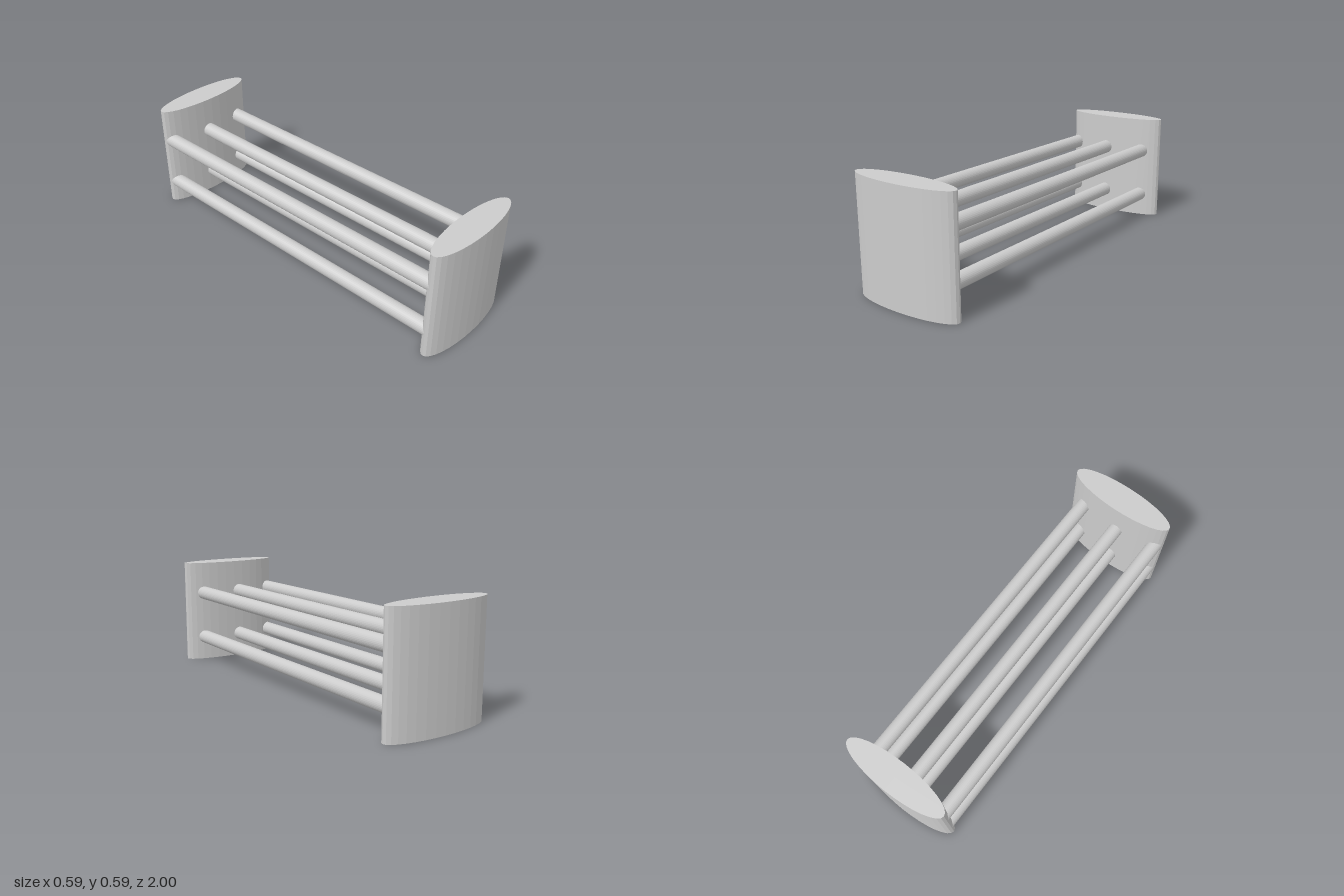
import * as THREE from 'three';

export function createModel() {
  const model = new THREE.Group();
  const material = new THREE.MeshStandardMaterial({ color: 0xcccccc, flatShading: true });

  // Upright elliptical end blocks
  const height = 0.587, halfWidth = 0.293, halfDepth = 0.076, endZ = 0.924;
  const blockGeometry = new THREE.CylinderGeometry(1, 1, height, 32);
  blockGeometry.scale(halfWidth, 1, halfDepth);
  for (const side of [1, -1]) {
    const block = new THREE.Mesh(blockGeometry, material);
    block.name = side > 0 ? 'frontEndBlock' : 'backEndBlock';
    block.position.set(0, height / 2, side * endZ);
    model.add(block);
  }

  // Two rows of three round rods, dropping slightly toward the back
  const rodLength = 1.84, rodRadius = 0.038, drop = 0.009;
  const rodGeometry = new THREE.CylinderGeometry(rodRadius, rodRadius, rodLength, 32);
  rodGeometry.rotateX(Math.PI / 2);
  const rows = { lower: 0.132, upper: 0.402 };
  const columns = { Right: -0.253, Middle: -0.031, Left: 0.196 };
  for (const [row, y] of Object.entries(rows)) {
    for (const [column, x] of Object.entries(columns)) {
      const rod = new THREE.Mesh(rodGeometry, material);
      rod.name = `${row}${column}Rod`;
      rod.position.set(x, y, 0);
      rod.rotation.x = -Math.atan(drop / rodLength);
      model.add(rod);
    }
  }

  return model;
}
